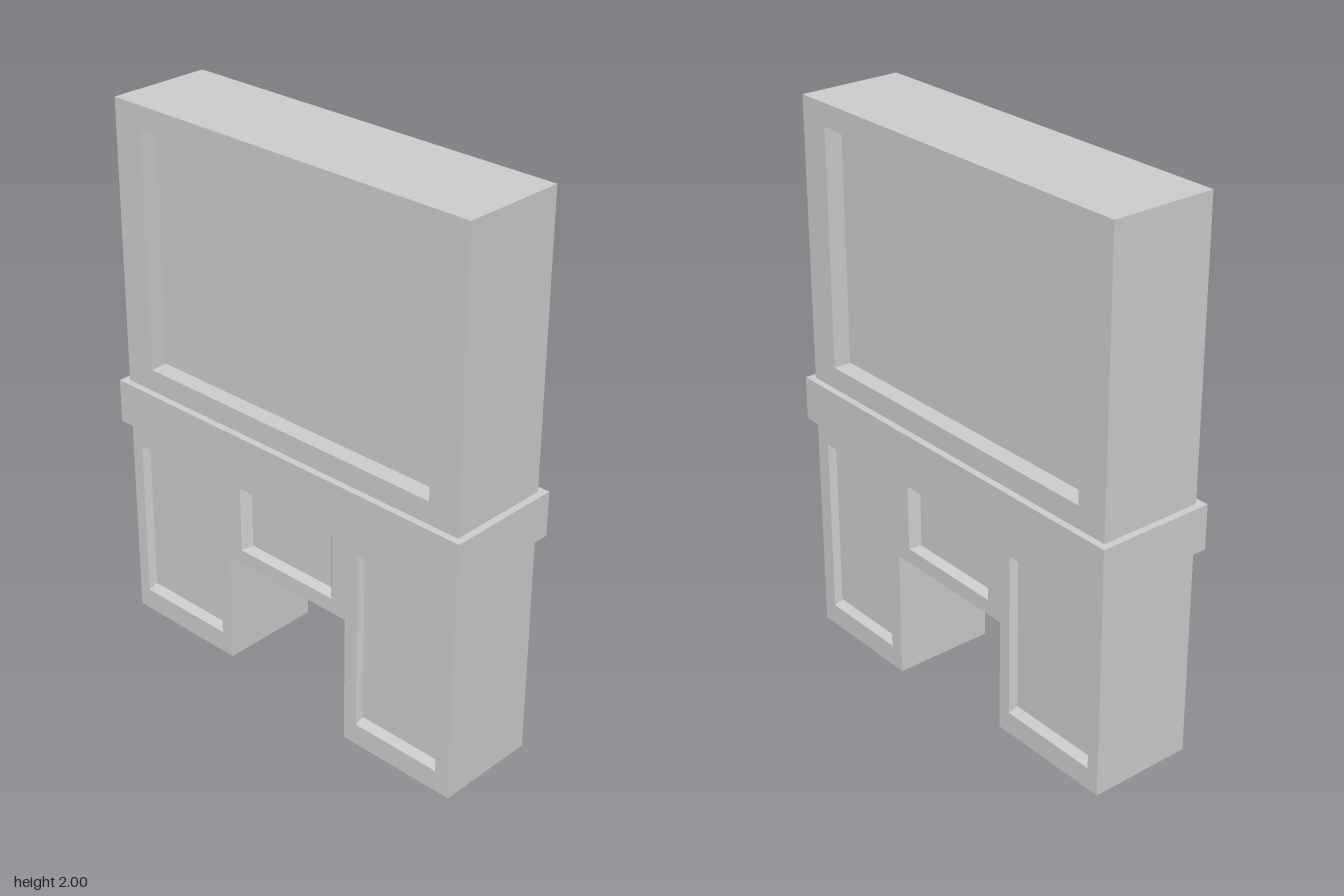
import * as THREE from 'three';

const H = 0.19; // half thickness of the body
const material = new THREE.MeshStandardMaterial({ color: 0xcccccc, flatShading: true });

// Body outline as [z, y]: two legs of unequal length under a tall breast
const outline = [
  [0.74, 0], [0.28, 0], [0.28, 0.475], [-0.26, 0.475],
  [-0.26, 0.063], [-0.74, 0.063], [-0.74, 2], [0.74, 2],
];

// Sunken panels: outer and inner rectangles as [zMin, yMin, zMax, yMax]
const panels = [
  { name: 'upperPanel', outer: [-0.622, 1.065, 0.622, 1.92], inner: [-0.622, 1.065, 0.622, 1.92], depth: 0.065 },
  { name: 'frontLegPanel', outer: [0.334, 0.08, 0.683, 0.745], inner: [0.34, 0.1, 0.674, 0.726], depth: 0.027 },
  { name: 'lintelPanel', outer: [-0.201, 0.53, 0.222, 0.772], inner: [-0.175, 0.546, 0.192, 0.758], depth: 0.03 },
  { name: 'backLegPanel', outer: [-0.694, 0.143, -0.307, 0.743], inner: [-0.683, 0.164, -0.318, 0.721], depth: 0.027 },
];

function quadGeometry(quads) {
  const positions = quads.flatMap(([a, b, c, d]) => [a, b, c, a, c, d].flat());
  const geometry = new THREE.BufferGeometry();
  geometry.setAttribute('position', new THREE.Float32BufferAttribute(positions, 3));
  geometry.computeVertexNormals();
  return geometry;
}

function addMesh(parent, geometry, name) {
  const mesh = new THREE.Mesh(geometry, material);
  mesh.name = name;
  parent.add(mesh);
  return mesh;
}

// Counter-clockwise corners of a rectangle, with z flipped to suit the side
function corners([z0, y0, z1, y1], side) {
  const [u0, u1] = side > 0 ? [-z1, -z0] : [z0, z1];
  return [[u0, y0], [u1, y0], [u1, y1], [u0, y1]];
}

// Four sloping walls and a floor behind the face
function recessGeometry({ outer, inner, depth }, side) {
  const rim = corners(outer, side).map((p) => [...p, H]);
  const floor = corners(inner, side).map((p) => [...p, H - depth]);
  const walls = rim.map((p, i) => {
    const j = (i + 1) % 4;
    return [p, rim[j], floor[j], floor[i]];
  });
  return quadGeometry([...walls, floor]);
}

const toShape = (points) => new THREE.Shape(points.map(([x, y]) => new THREE.Vector2(x, y)));

export function createModel() {
  const model = new THREE.Group();
  model.name = 'fireplace';

  // Outer walls, top, leg undersides and opening
  const rim = outline.map(([z, y]) => [-z, y]);
  const walls = rim.map((a, i) => {
    const b = rim[(i + 1) % rim.length];
    return [[...a, -H], [...b, -H], [...b, H], [...a, H]];
  });
  addMesh(model, quadGeometry(walls), 'bodyWalls').rotation.y = Math.PI / 2;

  // Both broad faces with their sunken panels
  for (const side of [1, -1]) {
    const face = new THREE.Group();
    face.name = side > 0 ? 'leftFace' : 'rightFace';
    face.rotation.y = side * Math.PI / 2;
    const shape = toShape(outline.map(([z, y]) => [-side * z, y]));
    shape.holes = panels.map((p) => toShape(corners(p.outer, side)));
    addMesh(face, new THREE.ShapeGeometry(shape).translate(0, 0, H), 'facePlate');
    for (const p of panels) addMesh(face, recessGeometry(p, side), p.name);
    model.add(face);
  }

  // Mantel band around the middle
  addMesh(model, new THREE.BoxGeometry(0.43, 0.16, 1.53), 'mantel').position.y = 0.905;

  return model;
}
